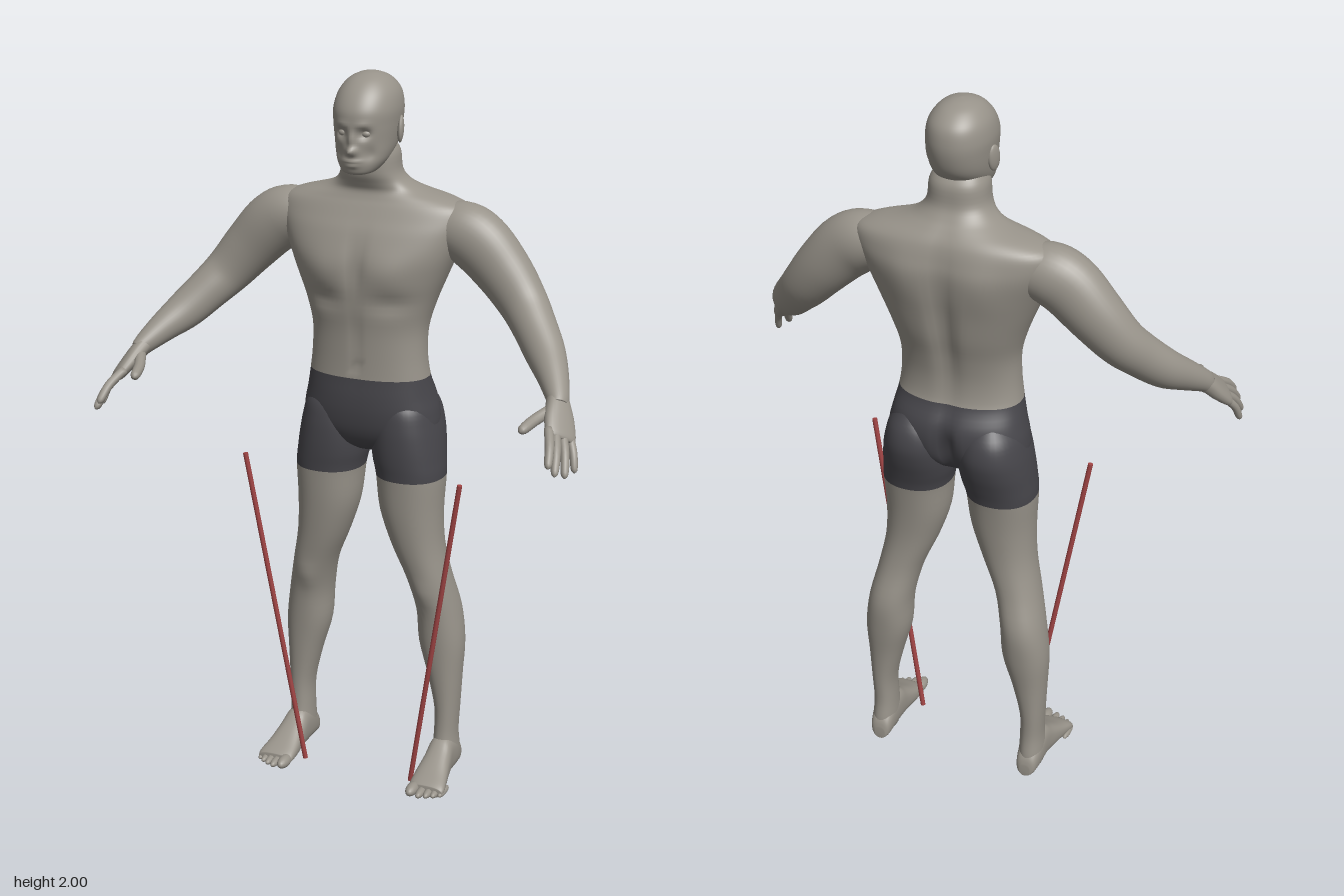
import * as THREE from 'three';

const V = (x, y, z) => new THREE.Vector3(x, y, z);

// Catmull-Rom interpolation of rows of numbers, n steps per interval
function smooth(rows, n) {
  const out = [], last = rows.length - 1;
  for (let i = 0; i < last; i++) {
    const [a, b, c, d] = [rows[Math.max(i - 1, 0)], rows[i], rows[i + 1], rows[Math.min(i + 2, last)]];
    for (let k = 0; k < n; k++) {
      const t = k / n;
      out.push(b.map((q, j) => q + 0.5 * t * (c[j] - a[j] + t * (2 * a[j] - 5 * q + 4 * c[j] - d[j]
        + t * (3 * (q - c[j]) + d[j] - a[j])))));
    }
  }
  out.push(rows[last]);
  return out;
}

// Superellipse ring around centre c, spanned by half-axes u and v
function ring(c, u, v, p, segs) {
  const pts = [], f = (q) => Math.sign(q) * Math.abs(q) ** (2 / p);
  for (let j = 0; j < segs; j++) {
    const a = (j / segs) * Math.PI * 2;
    pts.push(c.clone().addScaledVector(u, f(Math.cos(a))).addScaledVector(v, f(Math.sin(a))));
  }
  return pts;
}

// Closed smooth skin over rings; faces before ring `split` go in group 0, the rest in group 1
function skinRings(rings, split = 0) {
  const s = rings[0].length, n = rings.length, pts = rings.flat();
  const mid = (r) => r.reduce((m, p) => m.add(p), V(0, 0, 0)).divideScalar(s);
  pts.push(mid(rings[0]), mid(rings[n - 1]));
  const idx = [];
  let mark = 0;
  for (let j = 0; j < s; j++) idx.push(n * s, (j + 1) % s, j);
  for (let i = 0; i < n - 1; i++) {
    if (i === split) mark = idx.length;
    for (let j = 0; j < s; j++) {
      const a = i * s + j, b = i * s + (j + 1) % s;
      idx.push(a, b, a + s, b, b + s, a + s);
    }
  }
  for (let j = 0; j < s; j++) idx.push(n * s + 1, (n - 1) * s + j, (n - 1) * s + (j + 1) % s);
  // turn the faces outward
  let vol = 0;
  for (let i = 0; i < idx.length; i += 3) {
    vol += pts[idx[i]].dot(pts[idx[i + 1]].clone().cross(pts[idx[i + 2]]));
  }
  if (vol < 0) for (let i = 0; i < idx.length; i += 3) [idx[i + 1], idx[i + 2]] = [idx[i + 2], idx[i + 1]];
  const g = new THREE.BufferGeometry().setFromPoints(pts);
  g.setIndex(idx);
  if (split) {
    g.addGroup(0, mark, 0);
    g.addGroup(mark, idx.length - mark, 1);
  }
  g.computeVertexNormals();
  return g;
}

// Rows [y, xMin, xMax, zFront, zBack] stacked upward or downward
function column(rows, { side = 1, n = 4, p = 2.2, segs = 40, splitRow = 0 } = {}) {
  return skinRings(smooth(rows, n).map(([y, x0, x1, zf, zb]) => ring(
    V(side * (x0 + x1) / 2, y, (zf + zb) / 2), V((x1 - x0) / 2, 0, 0), V(0, 0, (zf - zb) / 2), p, segs)), splitRow * n);
}

// Rows [x, y, z, width, thickness] along a limb; ref is the width direction
function limb(rows, side, ref, n = 4, segs = 24, p = 2) {
  const r = smooth(rows, n), c = r.map((q) => V(q[0], q[1], q[2]));
  return skinRings(r.map((q, i) => {
    const t = c[Math.min(i + 1, c.length - 1)].clone().sub(c[Math.max(i - 1, 0)]).normalize();
    const w = ref.clone().addScaledVector(t, -ref.dot(t)).normalize();
    const b = t.clone().cross(w);
    return ring(c[i], w.multiplyScalar(q[3]), b.multiplyScalar(q[4]), p, segs)
      .map((v) => V(v.x * side, v.y, v.z));
  }));
}

// Soft mirrored push of the surface near a point
function sculpt(g, list) {
  const pos = g.attributes.position;
  for (const [x, y, z, sx, sy, sz, dx, dy, dz] of list) {
    for (let i = 0; i < pos.count; i++) {
      const px = pos.getX(i), py = pos.getY(i), pz = pos.getZ(i);
      const w = Math.exp(-(((Math.abs(px) - x) / sx) ** 2) - ((py - y) / sy) ** 2 - ((pz - z) / sz) ** 2);
      pos.setXYZ(i, px + Math.sign(px) * dx * w, py + dy * w, pz + dz * w);
    }
  }
  g.computeVertexNormals();
  return g;
}

export function createModel() {
  const model = new THREE.Group();
  const material = (name, color) => Object.assign(new THREE.MeshStandardMaterial({ color }), { name });
  const skin = material('skin', 0x98938a), shorts = material('shorts', 0x47464b), red = material('red rod', 0xa04444);
  const add = (name, geo, mat = skin) => {
    const m = new THREE.Mesh(geo, mat);
    m.name = name;
    model.add(m);
    return m;
  };

  // Trunk and neck, shorts up to the waist
  const trunk = [
    [0.965, 0.05, -0.08, -0.17], [0.99, 0.13, -0.045, -0.205], [1.03, 0.19, -0.024, -0.235],
    [1.08, 0.193, -0.014, -0.248], [1.13, 0.182, -0.012, -0.243], [1.185, 0.17, -0.015, -0.215],
    [1.25, 0.162, -0.015, -0.21], [1.32, 0.163, -0.012, -0.222], [1.39, 0.182, -0.003, -0.242],
    [1.46, 0.21, 0.002, -0.256], [1.52, 0.235, 0, -0.266], [1.58, 0.26, -0.02, -0.27],
    [1.62, 0.27, -0.04, -0.264], [1.65, 0.262, -0.055, -0.256], [1.67, 0.22, -0.065, -0.246],
    [1.69, 0.145, -0.07, -0.23], [1.71, 0.103, -0.062, -0.212], [1.74, 0.082, -0.05, -0.195],
    [1.79, 0.076, -0.05, -0.19], [1.82, 0.06, -0.07, -0.17],
  ].map(([y, h, f, b]) => [y, -h, h, f, b]);
  add('trunk', sculpt(column(trunk, { segs: 80, p: 2.3, splitRow: 5 }), [
    [0, 1.5, 0, 0.02, 0.07, 0.08, 0, 0, -0.012], // groove between the chest muscles
    [0.09, 1.48, 0, 0.06, 0.045, 0.08, 0, 0, 0.008], // chest muscles
    [0.1, 1.4, 0, 0.06, 0.025, 0.08, 0, 0, -0.01], // fold under the chest
    [0, 1.3, 0, 0.012, 0.08, 0.08, 0, 0, -0.005], // belly line
    [0, 1.22, -0.01, 0.01, 0.01, 0.05, 0, 0, -0.01], // navel
    [0, 1.42, -0.25, 0.028, 0.2, 0.1, 0, 0, 0.02], // spine groove
    [0.1, 1.57, -0.25, 0.05, 0.07, 0.08, 0, 0, -0.008], // shoulder blades
    [0, 1.05, -0.25, 0.02, 0.07, 0.08, 0, 0, 0.035], // cleft of the seat
  ]), [shorts, skin]);

  // Head with a sculpted face
  const head = [
    [1.745, 0.028, 0, -0.06], [1.752, 0.045, 0.008, -0.09], [1.775, 0.063, 0.013, -0.135],
    [1.8, 0.073, 0.012, -0.17], [1.83, 0.079, 0.013, -0.198], [1.87, 0.084, 0.016, -0.213],
    [1.91, 0.086, 0.014, -0.217], [1.95, 0.077, -0.008, -0.208], [1.98, 0.055, -0.04, -0.178],
    [1.995, 0.028, -0.075, -0.143], [2, 0.003, -0.107, -0.112],
  ].map(([y, h, f, b]) => [y, -h, h, f, b]);
  add('head', sculpt(column(head, { segs: 96, n: 6, p: 2.15 }), [
    [0.032, 1.853, 0.01, 0.016, 0.013, 0.03, 0, 0, -0.014], // eye sockets
    [0.028, 1.876, 0.01, 0.024, 0.009, 0.03, 0, 0, 0.004], // brow
    [0, 1.837, 0.015, 0.009, 0.022, 0.04, 0, 0, 0.01], // nose bridge
    [0, 1.808, 0.015, 0.013, 0.011, 0.04, 0, 0, 0.02], // nose tip
    [0, 1.782, 0.015, 0.022, 0.005, 0.04, 0, 0, 0.006], // upper lip
    [0, 1.77, 0.015, 0.018, 0.005, 0.04, 0, 0, 0.006], // lower lip
    [0.045, 1.8, 0, 0.015, 0.02, 0.03, 0, 0, -0.007], // cheeks
  ]));

  for (const side of [1, -1]) {
    const label = side > 0 ? 'left' : 'right';
    const ball = (name, x, y, z, sx, sy, sz) => {
      const m = add(label + name, new THREE.SphereGeometry(1, 20, 14));
      m.position.set(side * x, y, z);
      m.scale.set(sx, sy, sz);
      return m;
    };
    ball('Eye', 0.032, 1.853, -0.009, 0.013, 0.01, 0.011);
    ball('Ear', 0.086, 1.853, -0.11, 0.009, 0.036, 0.021).rotation.set(-0.15, side * 0.3, 0);

    // Arm from inside the chest to the wrist
    add(label + 'Arm', limb([
      [0.15, 1.59, -0.155, 0.06, 0.055], [0.24, 1.588, -0.15, 0.073, 0.08], [0.3, 1.56, -0.146, 0.072, 0.085],
      [0.37, 1.49, -0.142, 0.067, 0.077], [0.43, 1.42, -0.125, 0.06, 0.067], [0.475, 1.37, -0.09, 0.056, 0.06],
      [0.525, 1.315, -0.04, 0.05, 0.054], [0.565, 1.275, 0.015, 0.041, 0.042], [0.597, 1.238, 0.068, 0.032, 0.03],
      [0.606, 1.222, 0.087, 0.03, 0.024],
    ], side, V(0, 0, 1), 5, 36));

    // Hand: flat palm, four fingers and a thumb
    const across = V(0.61, -0.38, -0.69);
    add(label + 'Palm', limb([
      [0.592, 1.244, 0.058, 0.026, 0.022], [0.605, 1.224, 0.085, 0.034, 0.023], [0.62, 1.195, 0.118, 0.044, 0.021],
      [0.636, 1.165, 0.152, 0.045, 0.016], [0.64, 1.157, 0.161, 0.036, 0.009],
    ], side, across, 4, 24, 2.4));
    const digit = (name, a, b, c, r) => add(label + name, limb([
      [...a, r, r], [...b, r * 0.95, r * 0.95], [...c.map((q, i) => q + (b[i] - q) * 0.2), r * 0.8, r * 0.8],
      [...c, r * 0.15, r * 0.15]], side, across, 4, 12));
    [[0.64, 1.113, 0.258], [0.655, 1.092, 0.25], [0.672, 1.08, 0.22], [0.682, 1.08, 0.172]].forEach((tip, i) => {
      const base = V(0.63, 1.173, 0.146).addScaledVector(across, -0.033 + i * 0.022);
      const bend = base.clone().lerp(V(...tip), 0.5).add(V(0.004, 0.006, 0.003));
      digit('Finger' + (i + 1), base.toArray(), bend.toArray(), tip, i === 3 ? 0.011 : 0.0125);
    });
    digit('Thumb', [0.598, 1.218, 0.095], [0.568, 1.2, 0.155], [0.55, 1.185, 0.218], 0.016);

    // Leg, shorts down to mid thigh
    add(label + 'Leg', sculpt(column([
      [1.14, 0.06, 0.15, -0.06, -0.215], [1.1, 0.03, 0.182, -0.03, -0.248], [1.05, 0.014, 0.197, -0.02, -0.26],
      [1, 0.01, 0.206, -0.018, -0.252], [0.95, 0.014, 0.212, -0.02, -0.236], [0.9, 0.025, 0.216, -0.025, -0.222],
      [0.8, 0.037, 0.212, -0.033, -0.207], [0.7, 0.07, 0.216, -0.045, -0.2], [0.6, 0.112, 0.235, -0.06, -0.208],
      [0.5, 0.135, 0.257, -0.08, -0.229], [0.4, 0.142, 0.27, -0.09, -0.223], [0.3, 0.17, 0.266, -0.097, -0.209],
      [0.2, 0.193, 0.261, -0.102, -0.2], [0.12, 0.194, 0.258, -0.1, -0.196], [0.06, 0.192, 0.262, -0.09, -0.203],
      [0.02, 0.195, 0.258, -0.1, -0.203],
    ], { side, segs: 40, splitRow: 5 }), [
      [0.175, 0.56, -0.06, 0.03, 0.035, 0.03, 0, 0, 0.008], // kneecap
    ]), [shorts, skin]);

    // Foot and toes
    const foot = smooth([
      [-0.21, 0.21, 0.24, 0.035], [-0.2, 0.198, 0.254, 0.065], [-0.16, 0.192, 0.262, 0.105], [-0.11, 0.19, 0.264, 0.115],
      [-0.07, 0.188, 0.27, 0.09], [-0.02, 0.183, 0.28, 0.06], [0.02, 0.183, 0.288, 0.04], [0.035, 0.187, 0.285, 0.03],
    ], 4);
    add(label + 'Foot', skinRings(foot.map(([z, a, b, top]) => ring(
      V(side * (a + b) / 2, top / 2, z), V((b - a) / 2, 0, 0), V(0, top / 2, 0), 2.5, 32))));
    [[0.2, 0.076, 0.017], [0.226, 0.074, 0.012], [0.246, 0.066, 0.0115], [0.264, 0.056, 0.011], [0.28, 0.043, 0.01]]
      .forEach(([x, tip, r], i) => ball('Toe' + (i + 1), x, r + 0.001, tip - 0.035, r, r, 0.035));

    // Slanted red rod in front of the leg
    const a = V(side * 0.165, 0.004, -0.027), b = V(side * 0.318, 0.94, 0.021), d = b.clone().sub(a);
    const rod = add(label + 'Rod', new THREE.CylinderGeometry(0.007, 0.007, d.length(), 16), red);
    rod.position.copy(a).add(b).multiplyScalar(0.5);
    rod.quaternion.setFromUnitVectors(V(0, 1, 0), d.normalize());
  }
  return model;
}
